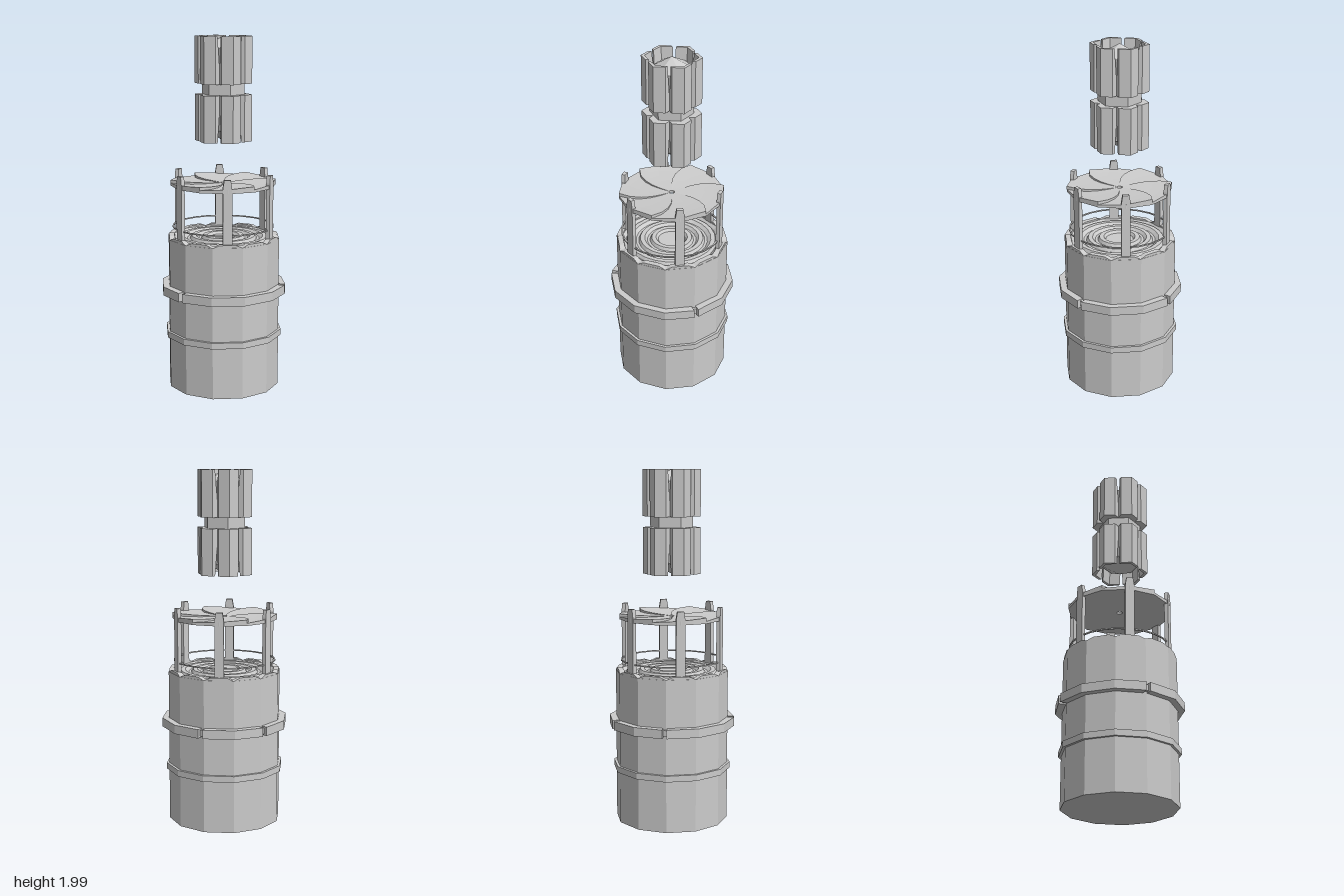
import * as THREE from 'three';

const RAD = Math.PI / 180;

export function createModel() {
  const root = new THREE.Group();
  const mat = new THREE.MeshStandardMaterial({ color: 0xcccccc, flatShading: true, side: THREE.DoubleSide });

  const add = (name, geometry, parent = root) => {
    const mesh = new THREE.Mesh(geometry, mat);
    mesh.name = name;
    parent.add(mesh);
    return mesh;
  };
  const group = (name) => {
    const g = new THREE.Group();
    g.name = name;
    root.add(g);
    return g;
  };
  const lathe = (points, sides) =>
    new THREE.LatheGeometry(points.map(([r, y]) => new THREE.Vector2(r, y)), sides);
  const shapeOf = (points) => new THREE.Shape(points.map(([x, y]) => new THREE.Vector2(x, y)));
  const polar = (r, deg) => [r * Math.cos(deg * RAD), r * Math.sin(deg * RAD)];

  // Plan outline (shape y points to -z) raised from y0 to y1
  const prism = (points, y0, y1) =>
    new THREE.ExtrudeGeometry(shapeOf(points), { depth: y1 - y0, bevelEnabled: false })
      .rotateX(-Math.PI / 2).translate(0, y0, 0);

  // Side outline, centred in depth, facing outward at a given angle
  const upright = (points, depth, radius, deg) =>
    new THREE.ExtrudeGeometry(shapeOf(points), { depth, bevelEnabled: false })
      .translate(0, 0, radius - depth / 2).rotateY((deg + 90) * RAD);

  // Twelve-sided drum with a sunken top
  add('barrel', lathe([[0, 0], [0.32, 0], [0.32, 0.862], [0.285, 0.868], [0.265, 0.85], [0, 0.85]], 12));

  // Stepped rings on the sunken top
  add('topRipples', lathe([
    [0.262, 0.848], [0.25, 0.868], [0.225, 0.868], [0.205, 0.853], [0.19, 0.853], [0.18, 0.87],
    [0.155, 0.87], [0.14, 0.855], [0.125, 0.855], [0.115, 0.872], [0.09, 0.872], [0.078, 0.858], [0, 0.858],
  ], 24));

  // Raised lip on every facet of the rim
  const rim = group('rimLips');
  for (let i = 0; i < 12; i++) {
    add('rimLip', upright([[-0.078, 0.855], [0.078, 0.855], [0.078, 0.863], [0.045, 0.877], [-0.045, 0.877], [-0.078, 0.863]],
      0.03, 0.293, 15 + 30 * i), rim);
  }

  // Closed lower hoop
  add('lowerBand', lathe([[0.31, 0.295], [0.335, 0.295], [0.335, 0.33], [0.31, 0.33]], 12));

  // Upper hoop in four pieces, with a notch between neighbours
  const band = group('upperBand');
  const notches = [30, 120, 180, 270, 390];
  for (let i = 0; i < 4; i++) {
    const angles = [notches[i] + 1];
    for (let a = notches[i] + 30; a < notches[i + 1]; a += 30) angles.push(a);
    angles.push(notches[i + 1] - 3);
    const outer = angles.map((a) => polar(0.358, a));
    const inner = angles.map((a) => polar(0.315, a)).reverse();
    add('bandPiece', prism([...outer, ...inner], 0.545, 0.595), band);
  }
  add('bandCore', lathe([[0.31, 0.553], [0.337, 0.553], [0.337, 0.587], [0.31, 0.587]], 12), band);

  // Six posts with narrowed tops
  const posts = group('posts');
  for (let i = 0; i < 6; i++) {
    add('post', upright([[-0.026, 0.855], [0.026, 0.855], [0.025, 1.19], [0.018, 1.232], [-0.018, 1.232], [-0.025, 1.19]],
      0.022, 0.285, 15 + 60 * i), posts);
  }

  // Thin wire hoop joining the posts near their feet
  add('wireHoop', lathe([[0.281, 0.921], [0.289, 0.921], [0.289, 0.928], [0.281, 0.928], [0.281, 0.921]], 24));

  // Roof of six swirling, gently pitched blades around a small hole
  const roof = group('roof');
  for (let i = 0; i < 6; i++) {
    const blade = new THREE.BoxGeometry(1, 1, 1, 5, 1, 4);
    const p = blade.attributes.position;
    for (let k = 0; k < p.count; k++) {
      const s = p.getX(k) + 0.5;
      const t = 0.5 - p.getZ(k);
      const flat = t === 0.25 || t === 0.75 ? 1 - (1 - Math.cos(15 * RAD)) * s : 1;
      const r = (0.016 + 0.281 * s) * flat;
      const [x, y] = polar(r, -15 + 60 * (i + t) + 24 * (1 - s * s));
      const top = 1.172 + 0.018 * t * s;
      p.setXYZ(k, x, p.getY(k) > 0 ? top : 1.158, -y);
    }
    blade.computeVertexNormals();
    add('roofBlade', blade, roof);
  }

  // Hexagonal floating core with pointed ends
  const core = group('floatingCore');
  add('coreBody', lathe([[0, 1.41], [0.12, 1.475], [0.12, 1.925], [0, 1.99]], 6), core);

  // Chevron plates in two tiers; the inner wall thickens toward the waist
  const chevron = [[-0.055, 0.112], [0, 0.142], [0.055, 0.112], [0.055, 0.13], [0, 0.162], [-0.055, 0.13]];
  for (const [y0, y1, waist] of [[1.41, 1.67, 1.67], [1.73, 1.99, 1.73]]) {
    for (let i = 0; i < 6; i++) {
      const plate = prism(chevron, y0, y1);
      const p = plate.attributes.position;
      for (let k = 0; k < p.count; k++) {
        const x = p.getX(k);
        const depth = -p.getZ(k) + Math.abs(x) * 0.56;
        if (Math.abs(p.getY(k) - waist) < 0.001 && depth < 0.15) p.setZ(k, p.getZ(k) + 0.025);
      }
      plate.computeVertexNormals();
      add('corePlate', plate.rotateY(60 * i * RAD), core);
    }
  }

  return root;
}
